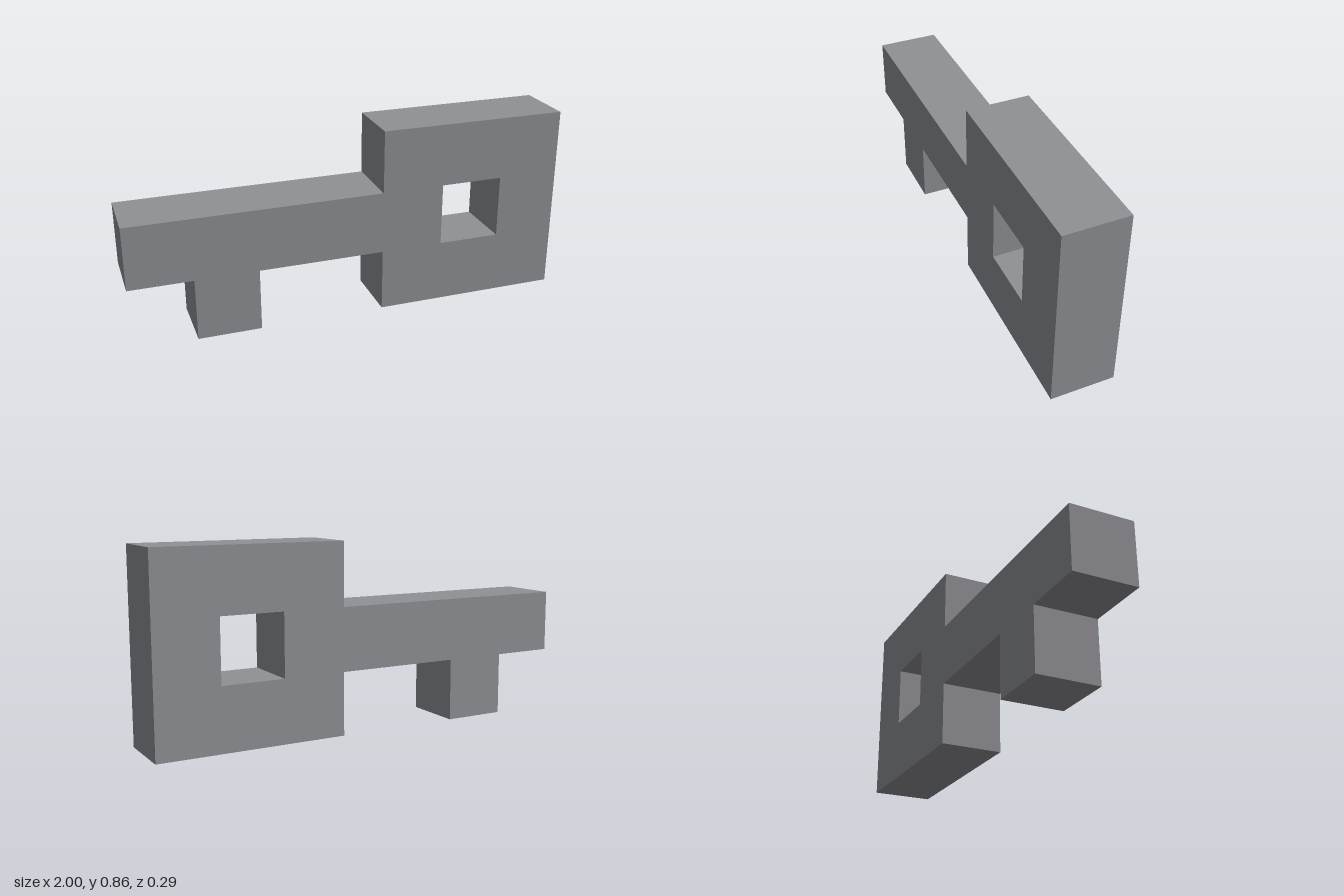
import * as THREE from 'three';

// The key sits on a grid seven cells long and three cells high
const CELL = 2 / 7;

const toPoints = (cells) =>
  cells.map(([x, y]) => new THREE.Vector2(x * CELL - 1, y * CELL));

export function createModel() {
  const model = new THREE.Group();
  model.name = 'blockKey';

  const steelGrey = new THREE.MeshStandardMaterial({ color: 0x909196 });
  steelGrey.name = 'steelGrey';

  // Outline: shaft with one tooth on the right, square bow on the left
  const outline = new THREE.Shape(toPoints([
    [0, 1], [1, 1], [1, 0], [2, 0], [2, 1], [4, 1],
    [4, 0], [7, 0], [7, 3], [4, 3], [4, 2], [0, 2],
  ]));

  // Square hole through the bow
  outline.holes.push(new THREE.Path(toPoints([[5, 1], [5, 2], [6, 2], [6, 1]])));

  const geometry = new THREE.ExtrudeGeometry(outline, { depth: CELL, bevelEnabled: false });
  geometry.translate(0, 0, -CELL / 2);

  const key = new THREE.Mesh(geometry, steelGrey);
  key.name = 'keyBody';
  model.add(key);

  return model;
}
